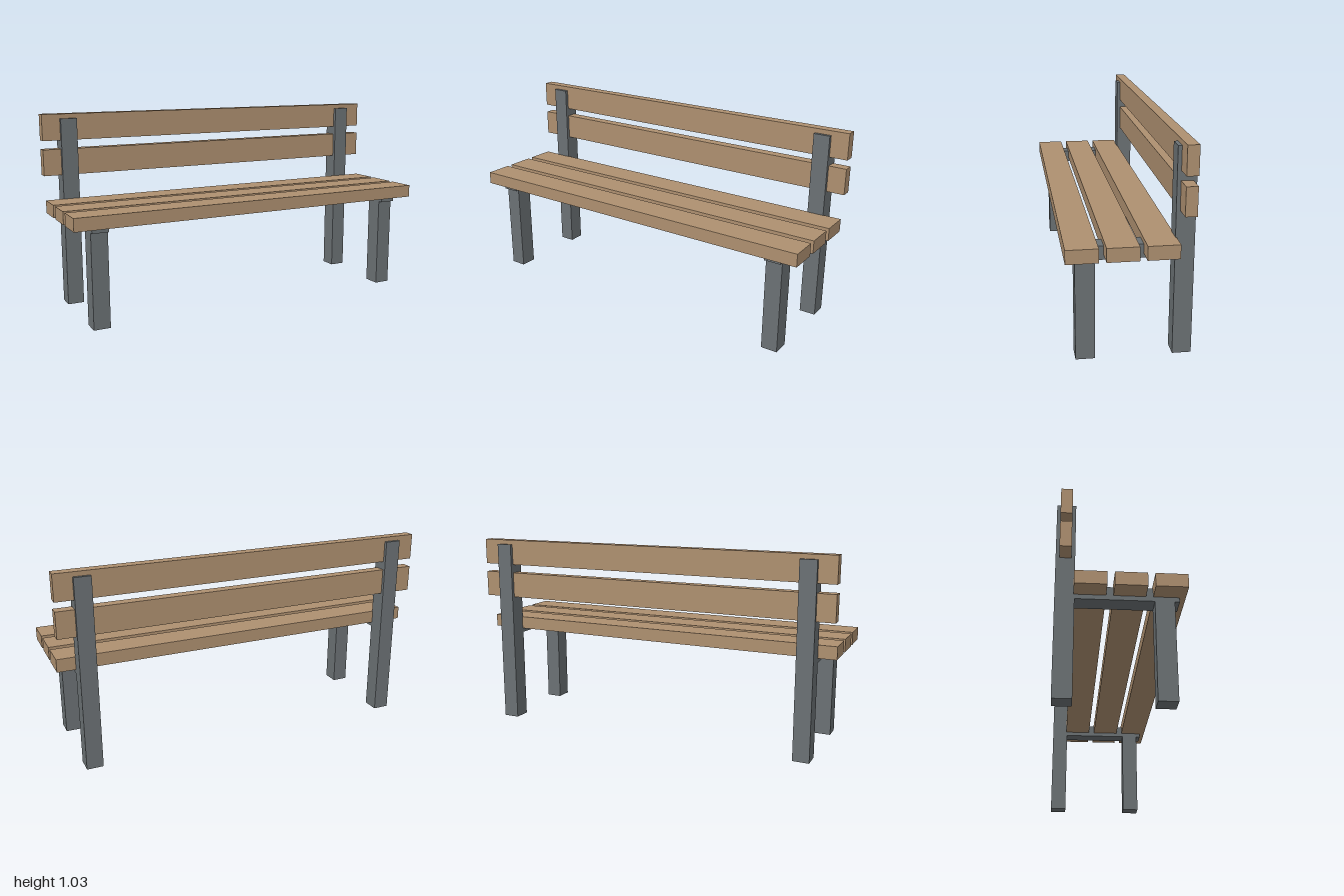
import * as THREE from 'three';

export function createModel() {
  const bench = new THREE.Group();
  bench.name = 'bench';
  const wood = new THREE.MeshStandardMaterial({ color: 0xae9070 });
  wood.name = 'wood';
  const metal = new THREE.MeshStandardMaterial({ color: 0x6b7174 });
  metal.name = 'greyMetal';

  // Box given by its x centre, width, and y and z ranges
  function addBox(name, material, x, width, [y0, y1], [z0, z1]) {
    const mesh = new THREE.Mesh(new THREE.BoxGeometry(width, y1 - y0, z1 - z0), material);
    mesh.position.set(x, (y0 + y1) / 2, (z0 + z1) / 2);
    mesh.name = name;
    bench.add(mesh);
  }

  // End frames: tall back post, short front leg and seat bearer
  for (const [side, s] of [['left', 1], ['right', -1]]) {
    const x = s * 0.863;
    addBox(side + 'BackPost', metal, x, 0.086, [0, 1.002], [-0.297, -0.207]);
    addBox(side + 'FrontLeg', metal, x, 0.086, [0, 0.49], [0.157, 0.248]);
    addBox(side + 'SeatBearer', metal, x, 0.086, [0.49, 0.556], [-0.207, 0.27]);
  }

  // Seat planks, front to back
  for (let i = 0; i < 3; i++) {
    const z = 0.224 - i * 0.181;
    addBox('seatPlank' + (i + 1), wood, 0, 2, [0.513, 0.58], [z - 0.074, z + 0.074]);
  }

  // Backrest planks, let into the posts
  [0.706, 0.889].forEach((y, i) =>
    addBox('backPlank' + (i + 1), wood, 0, 2, [y, y + 0.137], [-0.28, -0.225]));

  return bench;
}
